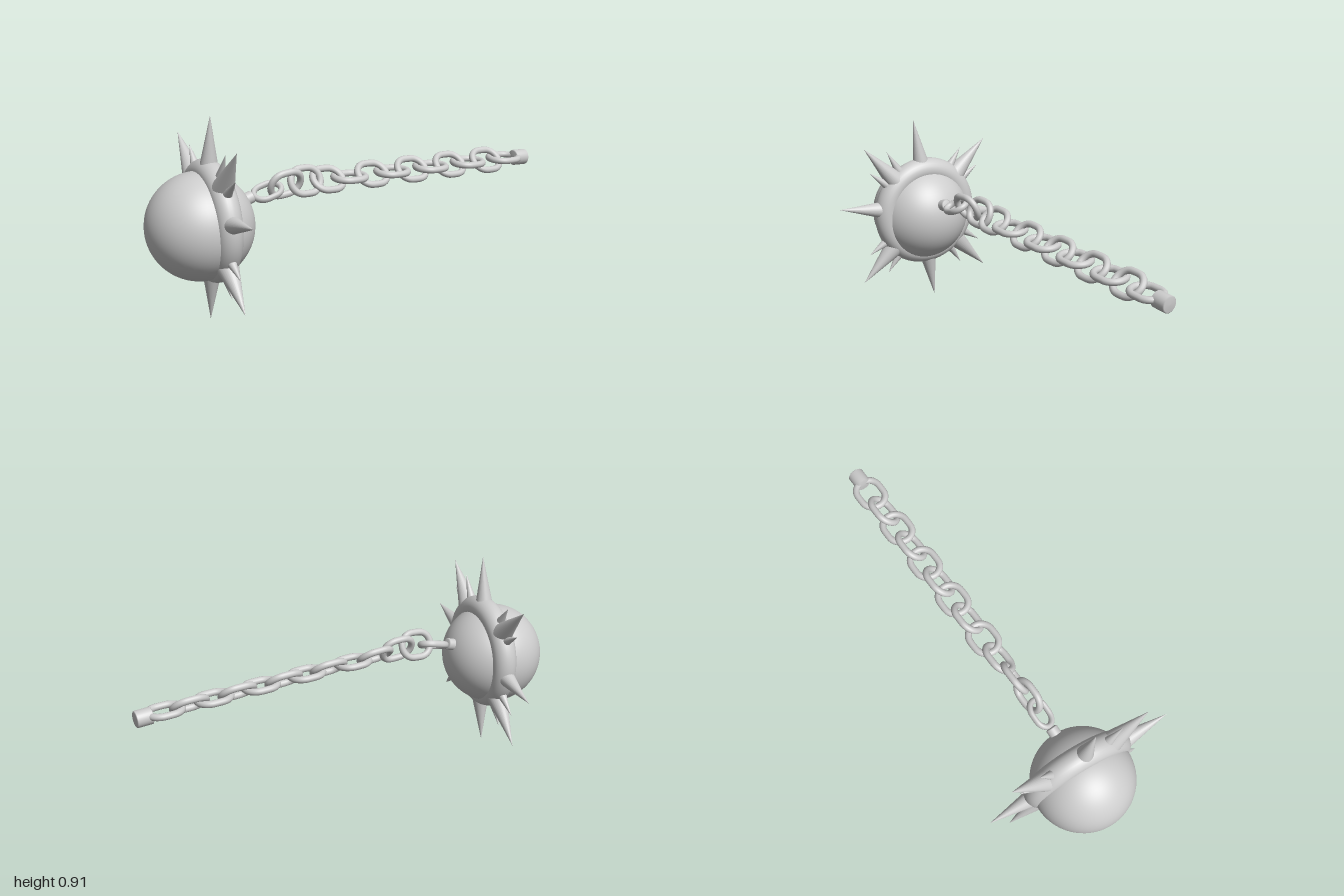
import * as THREE from 'three';

const steel = new THREE.MeshStandardMaterial({ color: 0xcccccc });
steel.name = 'steel grey';

function add(parent, name, geometry) {
  const mesh = new THREE.Mesh(geometry, steel);
  mesh.name = name;
  parent.add(mesh);
  return mesh;
}

// Aim the y axis of a mesh from one point to another, centred between them
function span(mesh, from, to) {
  mesh.position.copy(from).add(to).multiplyScalar(0.5);
  mesh.quaternion.setFromUnitVectors(new THREE.Vector3(0, 1, 0), to.clone().sub(from).normalize());
}

// Oval chain link lying in the xz plane
function linkGeometry(halfLength = 0.09, halfWidth = 0.072, wire = 0.0155) {
  const r = halfWidth - wire, s = halfLength - halfWidth;
  const points = [];
  for (let i = 0; i < 32; i++) {
    const a = (i + 0.5) / 32 * Math.PI * 2;
    points.push(new THREE.Vector3(Math.cos(a) * r + Math.sign(Math.cos(a)) * s, 0, Math.sin(a) * r));
  }
  return new THREE.TubeGeometry(new THREE.CatmullRomCurve3(points, true), 56, wire, 12, true);
}

// Short rod with softly rounded rims
function rodGeometry(radius, length) {
  const h = length / 2, b = 0.005;
  const profile = [[0, -h], [radius - b, -h + 0.001], [radius, -h + b], [radius, h - b], [radius - b, h - 0.001], [0, h]];
  return new THREE.LatheGeometry(profile.map(([x, y]) => new THREE.Vector2(x, y)), 32);
}

export function createModel() {
  const model = new THREE.Group();
  model.name = 'spikedBallAndChain';

  // Ball
  add(model, 'ball', new THREE.SphereGeometry(0.231, 64, 40)).position.set(-0.769, 0.433, -0.01);

  // Slightly tilted collar around the ball
  const centre = new THREE.Vector3(-0.722, 0.45, -0.005);
  const axis = new THREE.Vector3(1, 0.013, 0.094).normalize();
  const collar = add(model, 'collar', new THREE.TorusGeometry(0.207, 0.056, 28, 96));
  collar.position.copy(centre);
  collar.quaternion.setFromUnitVectors(new THREE.Vector3(0, 0, 1), axis);

  // Spikes in the collar plane: tip z, tip y, base radius, sideways shift of the base
  const spikes = new THREE.Group();
  spikes.name = 'spikes';
  model.add(spikes);
  const tips = [
    [0.04, 0.905, 0.046, -0.014], [0.305, 0.80, 0.055], [0.443, 0.525, 0.046], [0.335, 0.135, 0.055],
    [-0.047, 0, 0.046, 0.014], [-0.335, 0.105, 0.055], [-0.443, 0.372, 0.046], [-0.347, 0.767, 0.055],
    [0.187, 0.768, 0.031], [0.283, 0.68, 0.031], [-0.212, 0.738, 0.031], [-0.305, 0.637, 0.031],
    [0.30, 0.27, 0.031], [0.203, 0.163, 0.031], [-0.307, 0.245, 0.031], [-0.199, 0.145, 0.031],
  ];
  for (const [z, y, radius, shift = 0] of tips) {
    const x = centre.x - 0.013 * (y - centre.y) - 0.094 * (z - centre.z);
    const tip = new THREE.Vector3(x, y, z);
    const base = tip.clone().sub(centre).setLength(0.2).add(centre);
    base.z += shift;
    const spike = add(spikes, radius > 0.04 ? 'largeSpike' : 'smallSpike',
      new THREE.ConeGeometry(radius, tip.distanceTo(base), 28));
    span(spike, base, tip);
  }

  // Stub joining the ball to the chain
  const stub = add(model, 'ballStub', rodGeometry(0.027, 0.07));
  span(stub, new THREE.Vector3(-0.587, 0.506, -0.002), new THREE.Vector3(-0.522, 0.526, -0.002));

  // Chain links: x, y, roll about the chain, pitch
  const chain = new THREE.Group();
  chain.name = 'chain';
  chain.position.z = -0.003;
  model.add(chain);
  const links = [
    [-0.447, 0.537, 0.45, 0.25], [-0.355, 0.557, -1.2, 0.08], [-0.255, 0.557, 1.2, -0.03],
    [-0.14, 0.549, 0.77, -0.05], [-0.025, 0.543, 0.06, -0.03],
  ];
  for (let i = 0; i < 8; i++) {
    links.push([0.097 + i * 0.11, 0.541 - i * 0.0035, i % 2 ? 0.06 : 0.77, -0.03]);
  }
  const oval = linkGeometry();
  for (const [x, y, roll, pitch] of links) {
    const link = add(chain, 'chainLink', oval);
    link.position.set(x, y, 0);
    link.rotation.set(roll, 0, pitch, 'ZXY');
  }
  chain.children[0].scale.set(0.86, 1, 0.74);

  // End fitting
  const end = add(model, 'endCap', rodGeometry(0.037, 0.076));
  span(end, new THREE.Vector3(0.924, 0.51, -0.002), new THREE.Vector3(1, 0.506, -0.002));

  return model;
}
